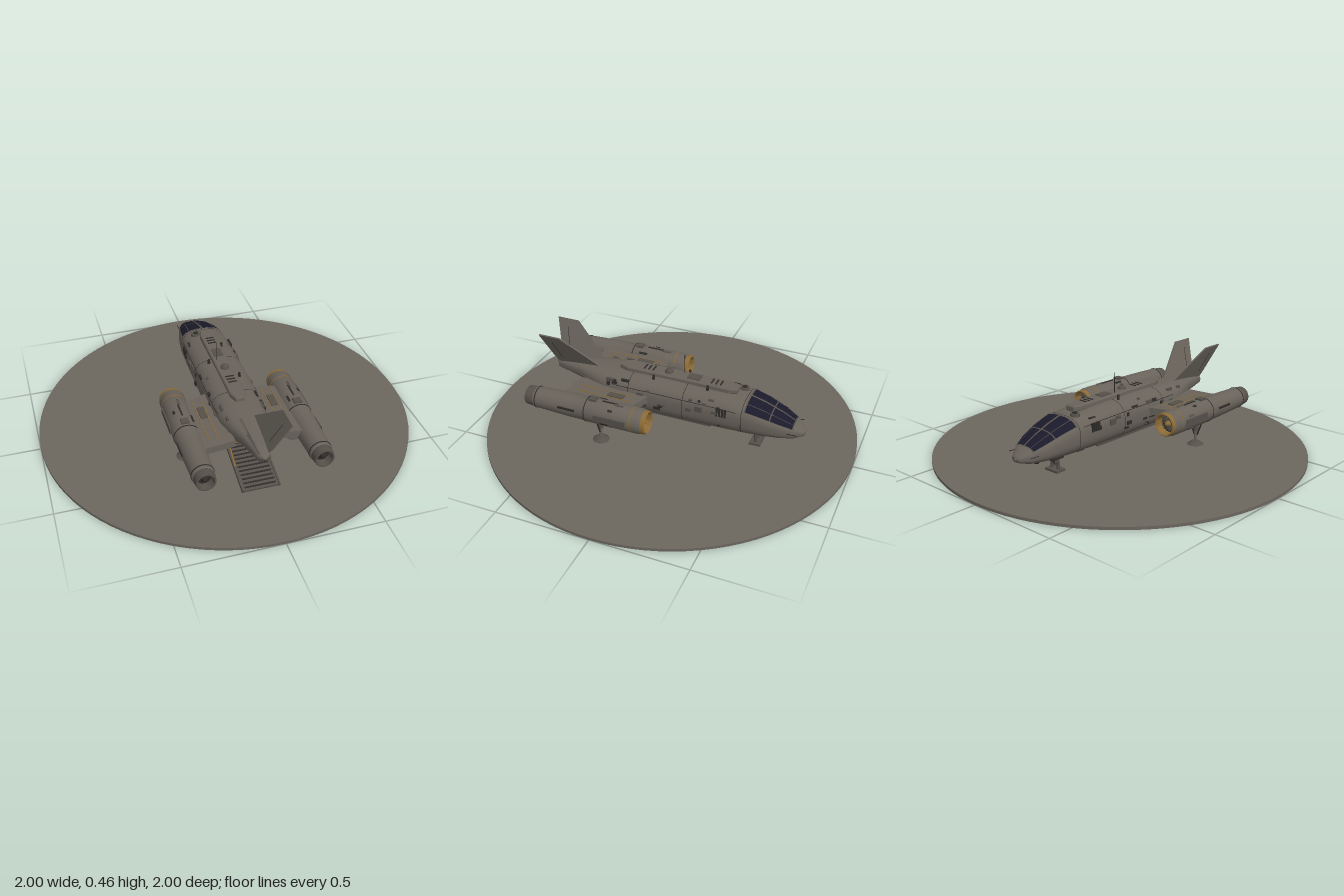
import * as THREE from 'three';
import { toCreasedNormals } from 'three/addons/utils/BufferGeometryUtils.js';

const mat = (name, color) => {
  const m = new THREE.MeshStandardMaterial({ color });
  m.name = name;
  return m;
};

// Hull stations: z, half width, bottom y, top y
const STATIONS = [
  [-0.745, 0.004, 0.145, 0.153], [-0.738, 0.03, 0.132, 0.166], [-0.69, 0.066, 0.117, 0.196],
  [-0.62, 0.094, 0.11, 0.232], [-0.53, 0.114, 0.106, 0.268], [-0.44, 0.126, 0.104, 0.294],
  [-0.3, 0.131, 0.102, 0.306], [0.0, 0.134, 0.1, 0.312], [0.25, 0.132, 0.105, 0.308],
  [0.34, 0.124, 0.115, 0.304], [0.43, 0.1, 0.17, 0.298], [0.52, 0.066, 0.2, 0.29],
  [0.61, 0.044, 0.212, 0.28], [0.665, 0.034, 0.222, 0.272], [0.685, 0.004, 0.244, 0.252],
];

// Point on the hull skin at station z and angle a in degrees (0 = +x, 90 = top)
function hullPoint(z, a, off = 0) {
  let i = 0;
  while (i < STATIONS.length - 2 && z > STATIONS[i + 1][0]) i++;
  const A = STATIONS[i], B = STATIONS[i + 1], t = (z - A[0]) / (B[0] - A[0]);
  const [w, lo, hi] = [1, 2, 3].map((k) => A[k] + (B[k] - A[k]) * t);
  const c = Math.cos(a * Math.PI / 180), s = Math.sin(a * Math.PI / 180);
  const power = (v) => Math.sign(v) * Math.pow(Math.abs(v), 0.74);
  return new THREE.Vector3((w + off) * power(c), (lo + hi) / 2 + ((hi - lo) / 2 + off) * power(s), z);
}

// Skin patch following the hull between stations and angles
function skin(zs, a0, a1, na, off = 0) {
  const pos = [], idx = [], n = na + 1;
  zs.forEach((z, i) => {
    for (let j = 0; j <= na; j++) {
      pos.push(...hullPoint(z, a0 + (a1 - a0) * j / na, off).toArray());
      if (i < zs.length - 1 && j < na) {
        const p = i * n + j;
        idx.push(p, p + 1, p + n, p + 1, p + n + 1, p + n);
      }
    }
  });
  const g = new THREE.BufferGeometry();
  g.setAttribute('position', new THREE.Float32BufferAttribute(pos, 3));
  g.setIndex(idx);
  g.computeVertexNormals();
  return g;
}
const span = (a, b) => [a, ...STATIONS.map((s) => s[0]).filter((z) => z > a + 1e-4 && z < b - 1e-4), b];

export function createModel() {
  const model = new THREE.Group();
  const ground = mat('ground grey', 0x6b665e), hull = mat('hull grey', 0x68625a);
  const panel = mat('panel grey', 0x555049), dark = mat('dark metal', 0x2f2c29);
  const glass = mat('canopy glass', 0x1b1a2b), tan = mat('ochre trim', 0x8a6a36);

  const add = (name, geo, m, x = 0, y = 0, z = 0, parent = model) => {
    const mesh = new THREE.Mesh(geo, m);
    mesh.name = name;
    mesh.position.set(x, y, z);
    parent.add(mesh);
    return mesh;
  };
  const box = (name, m, w, h, d, x, y, z, parent) => add(name, new THREE.BoxGeometry(w, h, d), m, x, y, z, parent);
  const cyl = (name, m, r0, r1, h, x, y, z, parent) => add(name, new THREE.CylinderGeometry(r0, r1, h, 20), m, x, y, z, parent);
  const rod = (name, m, r, a, b) => {
    const p = new THREE.Vector3(...a), q = new THREE.Vector3(...b), d = q.clone().sub(p);
    const mesh = cyl(name, m, r, r, d.length(), ...p.add(q).multiplyScalar(0.5).toArray());
    mesh.quaternion.setFromUnitVectors(new THREE.Vector3(0, 1, 0), d.normalize());
  };
  const lathe = (name, m, pts, x, y, parent) => {
    const g = new THREE.LatheGeometry(pts.map((p) => new THREE.Vector2(...p)), 32);
    return add(name, toCreasedNormals(g.rotateX(Math.PI / 2), 0.5), m, x, y, 0, parent);
  };
  const plate = (name, m, z0, z1, a0, a1, off = 0.002) =>
    add(name, skin(span(z0, z1), a0, a1, Math.max(1, Math.ceil(Math.abs(a1 - a0) / 6)), off), m);

  // Landing pad
  add('landingPad', new THREE.CylinderGeometry(1, 1, 0.015, 96), ground, 0, 0.0075, 0);

  // Fuselage, canopy and its frames
  add('fuselage', skin(STATIONS.map((s) => s[0]), -90, 270, 48), hull);
  plate('canopyGlass', glass, -0.685, -0.445, 33, 147, 0.003);
  for (const a of [33, 62, 90, 118, 147]) plate('canopyFrame', panel, -0.69, -0.44, a - 1, a + 1, 0.006);
  for (const z of [-0.69, -0.575, -0.447]) plate('canopyCrossFrame', panel, z, z + 0.006, 33, 147, 0.006);

  // Panel seams round the hull and trim along the sides
  for (const z of [-0.43, -0.11, 0.2]) plate('hullSeam', dark, z, z + 0.003, -60, 240);
  for (const [a, b] of [[-42, -45], [222, 225]]) {
    plate('sideTrim', tan, -0.36, 0.02, Math.min(a, b), Math.max(a, b));
    plate('sideTrimFront', tan, -0.5, -0.4, Math.min(a, b), Math.max(a, b));
  }
  for (const [a0, a1] of [[22, 24], [156, 158]]) plate('sideSeam', dark, -0.4, 0.3, a0, a1);

  // Small fittings scattered over the hull sides
  let seed = 7;
  const rnd = () => (seed = (seed * 16807) % 2147483647) / 2147483647;
  for (let i = 0; i < 46; i++) {
    const left = i % 2 === 0, a = -25 + rnd() * 75, z = -0.42 + rnd() * 0.8;
    const p = hullPoint(z, left ? a : 180 - a);
    box('hullFitting', rnd() < 0.5 ? dark : panel, 0.012, 0.006 + rnd() * 0.014, 0.012 + rnd() * 0.035, p.x, p.y, p.z);
  }
  for (const s of [-1, 1]) {
    for (let k = 0; k < 4; k++) box('sideVent', dark, 0.012, 0.045, 0.009, s * 0.129, 0.235, -0.345 + k * 0.015);
    box('sideLocker', panel, 0.016, 0.03, 0.04, s * 0.131, 0.23, -0.2);
    rod('noseProbe', dark, 0.002, [s * 0.075, 0.16, -0.64], [s * 0.078, 0.165, -0.715]);
  }

  // Dorsal spine with hatches, dome and aerial
  const spine = new THREE.Shape([[-0.022, -0.37], [0.022, -0.37], [0.036, -0.33], [0.036, 0.24], [0.02, 0.285],
    [-0.02, 0.285], [-0.036, 0.24], [-0.036, -0.33]].map((p) => new THREE.Vector2(...p)));
  add('spine', new THREE.ExtrudeGeometry(spine, { depth: 0.02, bevelEnabled: true, bevelThickness: 0.006, bevelSize: 0.005, bevelSegments: 1 })
    .rotateX(Math.PI / 2), hull, 0, 0.325, 0);
  for (const z of [-0.28, -0.255, -0.23, 0.1, 0.125, 0.15]) box('spineVent', dark, 0.045, 0.004, 0.008, 0, 0.332, z);
  box('spineHatch', panel, 0.05, 0.008, 0.07, 0, 0.332, -0.13);
  add('sensorDome', new THREE.SphereGeometry(0.024, 20, 12), panel, 0, 0.328, 0.015);
  rod('aerial', dark, 0.0015, [-0.02, 0.31, -0.065], [-0.02, 0.44, -0.065]);
  cyl('roofHatch', panel, 0.024, 0.026, 0.016, -0.05, 0.298, -0.39);
  cyl('roofHatchLid', dark, 0.013, 0.013, 0.006, -0.05, 0.307, -0.39);
  for (const [x, z] of [[0.05, -0.22], [-0.06, -0.08], [0.06, 0.08]]) cyl('roofSensor', dark, 0.006, 0.009, 0.04, x, 0.31, z);

  // Belly fittings
  add('chinSensor', new THREE.SphereGeometry(0.019, 16, 10), dark, 0, 0.106, -0.61);
  box('bellyBox', dark, 0.08, 0.025, 0.05, 0, 0.101, -0.34);
  box('bellyKeel', panel, 0.15, 0.02, 0.5, 0, 0.105, 0.0);

  // Rear wall, ramp and ramp struts
  box('rearWall', panel, 0.2, 0.135, 0.08, 0, 0.178, 0.34);
  box('rearDoorway', dark, 0.17, 0.07, 0.006, 0, 0.15, 0.381);
  box('rearPlate', tan, 0.05, 0.026, 0.008, -0.06, 0.135, 0.383);
  box('rearPlate', tan, 0.05, 0.03, 0.008, 0.06, 0.2, 0.383);
  const ramp = new THREE.Group();
  ramp.name = 'ramp';
  ramp.position.set(0, 0.069, 0.468);
  ramp.rotation.x = 0.26;
  model.add(ramp);
  box('rampDeck', panel, 0.19, 0.01, 0.355, 0, 0, 0, ramp);
  for (let k = 0; k < 14; k++) box('rampTread', dark, 0.16, 0.004, 0.008, 0, 0.006, -0.16 + k * 0.0245, ramp);
  for (const s of [-1, 1]) {
    box('rampRail', panel, 0.008, 0.02, 0.355, s * 0.095, 0.003, 0, ramp);
    rod('rampStrut', tan, 0.004, [s * 0.092, 0.15, 0.37], [s * 0.092, 0.07, 0.5]);
  }

  // Tail fins, wings, engines and main gear on both sides
  const finShape = new THREE.Shape([[0.37, -0.02], [0.4, 0.01], [0.605, 0.197], [0.728, 0.197], [0.68, 0.03], [0.66, -0.02]]
    .map((p) => new THREE.Vector2(...p)));
  for (const s of [-1, 1]) {
    const fin = add('tailFin', new THREE.ExtrudeGeometry(finShape, { depth: 0.008, bevelEnabled: false })
      .translate(0, 0, -0.004).rotateY(-Math.PI / 2), hull, s * 0.03, 0.28, 0);
    fin.rotation.z = -s * 0.42;
    const hinge = box('finSeam', dark, 0.01, 0.13, 0.003, 0, 0.09, 0.645, fin);
    hinge.rotation.x = 0.25;

    const wingShape = new THREE.Shape([[0.09, 0.085], [0.13, 0.085], [0.25, 0.125], [0.25, 0.515], [0.09, 0.495]]
      .map(([x, z]) => new THREE.Vector2(s * x, z)));
    add('wing', new THREE.ExtrudeGeometry(wingShape, { depth: 0.038, bevelEnabled: false }).rotateX(Math.PI / 2), hull, 0, 0.235, 0);
    for (const x of [0.165, 0.212]) box('wingStripe', tan, 0.004, 0.003, 0.32, s * x, 0.236, 0.3);
    box('wingHatch', panel, 0.035, 0.008, 0.09, s * 0.188, 0.237, 0.24);

    const engine = new THREE.Group();
    engine.name = 'engine';
    engine.position.set(s * 0.297, 0.195, 0);
    model.add(engine);
    lathe('engineBody', hull, [[0.062, 0.03], [0.068, 0.045], [0.068, 0.345], [0.065, 0.355], [0.064, 0.45], [0.057, 0.655], [0.052, 0.662]], 0, 0, engine);
    lathe('intakeRim', tan, [[0.048, 0.06], [0.051, 0.015], [0.057, 0.008], [0.062, 0.013], [0.064, 0.031]], 0, 0, engine);
    lathe('intakeFan', dark, [[0, 0.055], [0.05, 0.055]], 0, 0, engine);
    lathe('intakeHub', tan, [[0.001, 0.02], [0.012, 0.03], [0.018, 0.056]], 0, 0, engine);
    for (let k = 0; k < 8; k++) {
      const blade = box('fanBlade', panel, 0.006, 0.094, 0.006, 0, 0, 0.05, engine);
      blade.rotation.z = k * Math.PI / 8;
    }
    lathe('engineNozzle', panel, [[0.052, 0.655], [0.054, 0.67], [0.05, 0.705], [0.042, 0.705], [0.036, 0.66]], 0, 0, engine);
    lathe('nozzleCore', dark, [[0.04, 0.665], [0.02, 0.668], [0.012, 0.69], [0, 0.695]], 0, 0, engine);
    for (const [z, r, m] of [[0.085, 0.069, tan], [0.345, 0.069, dark], [0.64, 0.0595, dark]]) {
      lathe('engineBand', m, [[r - 0.004, z], [r, z], [r, z + 0.005], [r - 0.004, z + 0.005]], 0, 0, engine);
    }
    box('engineTopBox', panel, 0.04, 0.018, 0.04, 0, 0.067, 0.315, engine);
    box('engineTopSlot', dark, 0.008, 0.008, 0.09, 0, 0.067, 0.22, engine);
    box('engineSideBox', panel, 0.016, 0.035, 0.18, s * 0.065, 0, 0.2, engine);
    box('engineSideSlot', dark, 0.01, 0.012, 0.1, s * 0.061, 0.01, 0.45, engine);
    for (let k = 0; k < 10; k++) {
      const a = k * 0.628 + 0.2, z = 0.12 + rnd() * 0.2;
      const bit = box('engineFitting', k % 2 ? dark : panel, 0.008, 0.012, 0.02 + rnd() * 0.03, Math.cos(a) * 0.067, Math.sin(a) * 0.067, z, engine);
      bit.rotation.z = a;
    }

    cyl('gearSleeve', panel, 0.017, 0.014, 0.05, s * 0.295, 0.115, 0.285);
    cyl('gearPiston', hull, 0.009, 0.009, 0.07, s * 0.295, 0.06, 0.285);
    cyl('gearFoot', panel, 0.022, 0.045, 0.016, s * 0.295, 0.025, 0.285);
    for (const d of [-1, 1]) rod('gearBrace', dark, 0.004, [s * 0.295 + d * 0.035, 0.135, 0.285], [s * 0.295 + d * 0.01, 0.07, 0.285]);
  }

  // Nose gear
  box('noseGearBay', dark, 0.08, 0.025, 0.075, 0, 0.1, -0.5);
  for (const s of [-1, 1]) rod('noseGearLeg', panel, 0.008, [s * 0.022, 0.1, -0.485], [s * 0.022, 0.025, -0.485]);
  rod('noseGearBrace', dark, 0.005, [0, 0.1, -0.515], [0, 0.045, -0.48]);
  box('noseGearAxle', panel, 0.055, 0.012, 0.014, 0, 0.055, -0.485);
  box('noseGearFoot', panel, 0.085, 0.012, 0.06, 0, 0.022, -0.485);

  return model;
}
